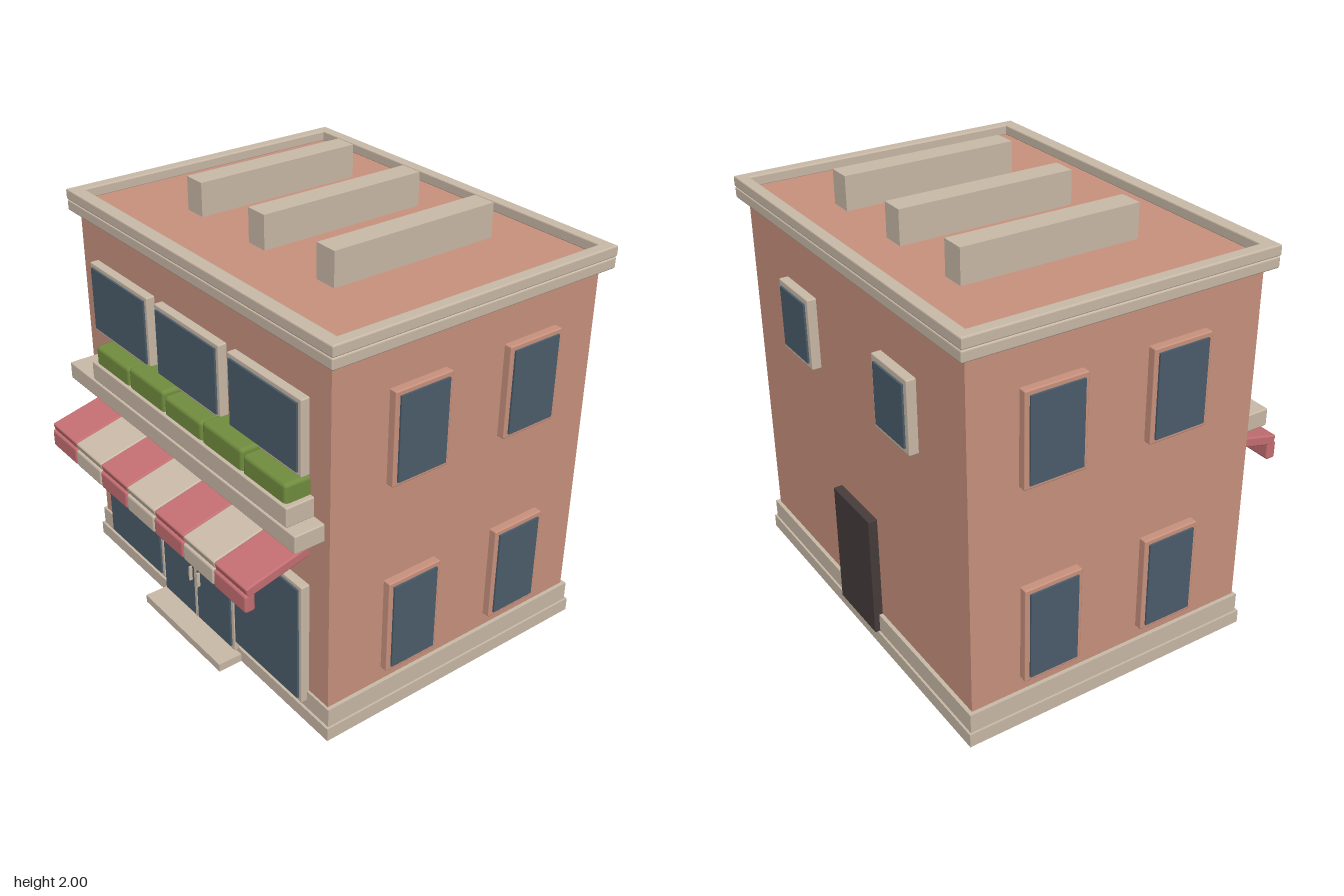
import * as THREE from 'three';
import { RoundedBoxGeometry } from 'three/addons/geometries/RoundedBoxGeometry.js';

const mat = (name, color) => Object.assign(new THREE.MeshStandardMaterial({ color }), { name });

export function createModel() {
  const brick = mat('brick', 0xc9927e);
  const stone = mat('stone', 0xcabaa8);
  const glass = mat('glass', 0x4b5d6b);
  const leaf = mat('leaf', 0x718d3e);
  const red = mat('awning red', 0xc56f72);
  const dark = mat('back door', 0x463c3b);

  const model = new THREE.Group();
  model.name = 'shopBuilding';

  // Box given by its limits on each axis; r rounds the edges
  function box(name, m, [x0, x1], [y0, y1], [z0, z1], r = 0, parent = model) {
    const s = [x1 - x0, y1 - y0, z1 - z0];
    const g = r ? new RoundedBoxGeometry(...s, 2, r) : new THREE.BoxGeometry(...s);
    const mesh = new THREE.Mesh(g, m);
    mesh.name = name;
    mesh.position.set((x0 + x1) / 2, (y0 + y1) / 2, (z0 + z1) / 2);
    parent.add(mesh);
    return mesh;
  }

  // Window facing +z: raised surround with a pane slightly proud of it
  function windowUnit(name, m, w, h, border, depth = 0.042) {
    const g = new THREE.Group();
    g.name = name;
    box('surround', m, [-w / 2, w / 2], [-h / 2, h / 2], [-0.01, depth], 0.006, g);
    const a = w / 2 - border, b = h / 2 - border;
    box('pane', glass, [-a, a], [-b, b], [depth, depth + 0.009], 0, g);
    model.add(g);
    return g;
  }

  // Walls and plinth
  box('walls', brick, [-0.922, 0.922], [0.06, 1.8], [-0.832, 0.572]);
  box('lowerPlinth', stone, [-0.95, 0.95], [0, 0.065], [-0.86, 0.595]);
  box('upperPlinth', stone, [-0.94, 0.94], [0.065, 0.157], [-0.85, 0.583]);
  box('doorStep', stone, [-0.315, 0.315], [0, 0.04], [0.55, 0.715]);

  // Cornice, parapet rim and sunken roof
  box('cornice', stone, [-0.972, 0.972], [1.788, 1.84], [-0.874, 0.61], 0.008);
  const rect = (C, x, zBack, zFront) => new C([
    new THREE.Vector2(-x, -zFront), new THREE.Vector2(x, -zFront),
    new THREE.Vector2(x, -zBack), new THREE.Vector2(-x, -zBack),
  ]);
  const b = 0.006;
  const rimShape = rect(THREE.Shape, 0.972 - b, -0.874 + b, 0.61 - b);
  rimShape.holes.push(rect(THREE.Path, 0.915 + b, -0.82 - b, 0.545 + b));
  const rim = new THREE.Mesh(new THREE.ExtrudeGeometry(rimShape, {
    depth: 0.05 - 2 * b, bevelEnabled: true, bevelSize: b, bevelThickness: b, bevelSegments: 2,
  }), stone);
  rim.name = 'parapetRim';
  rim.rotation.x = -Math.PI / 2;
  rim.position.y = 1.84 + b;
  model.add(rim);
  box('roof', brick, [-0.918, 0.918], [1.835, 1.843], [-0.825, 0.55]);
  for (const x of [-0.466, 0, 0.464])
    box('roofBeam', stone, [x - 0.056, x + 0.056], [1.84, 2], [-0.6, 0.246]);

  // Front windows on both floors
  for (const i of [-1, 0, 1])
    windowUnit('upperFrontWindow', stone, 0.49, 0.345, 0.02).position.set(i * 0.55 - 0.003, 1.42, 0.57);
  for (const s of [-1, 1])
    windowUnit('shopWindow', stone, 0.5, 0.614, 0.019).position.set(s * 0.546 - 0.003, 0.413, 0.57);

  // Double door with centre bar and handles
  windowUnit('frontDoor', stone, 0.588, 0.705, 0.02).position.set(-0.003, 0.402, 0.57);
  box('doorBar', stone, [-0.011, 0.005], [0.07, 0.737], [0.61, 0.625]);
  for (const s of [-1, 1])
    box('doorHandle', stone, [s * 0.032 - 0.007, s * 0.032 + 0.001], [0.265, 0.34], [0.615, 0.637]);

  // Side windows, same on both sides
  for (const s of [-1, 1])
    for (const z of [0.146, -0.456]) {
      const up = windowUnit('upperSideWindow', brick, 0.292, 0.43, 0.021, 0.037);
      up.position.set(s * 0.922, 1.377, z);
      const low = windowUnit('lowerSideWindow', brick, 0.28, 0.465, 0.022, 0.037);
      low.position.set(s * 0.922, 0.456, z);
      up.rotation.y = low.rotation.y = s * Math.PI / 2;
    }

  // Back windows and door
  for (const s of [-1, 1]) {
    const w = windowUnit('backWindow', stone, 0.282, 0.335, 0.026);
    w.position.set(s * 0.425, 1.373, -0.832);
    w.rotation.y = Math.PI;
  }
  box('backDoor', dark, [-0.165, 0.165], [0.065, 0.667], [-0.874, -0.82], 0.005);

  // Ledge, planter and hedge
  box('ledge', stone, [-0.888, 0.888], [0.988, 1.072], [0.55, 0.715], 0.006);
  box('planter', stone, [-0.68, 0.822], [1.07, 1.162], [0.55, 0.706], 0.006);
  for (let i = 0; i < 5; i++) {
    const x = -0.658 + i * 0.2915;
    box('hedge', leaf, [x, x + 0.29], [1.14, i % 2 ? 1.263 : 1.25], [0.555, 0.692], 0.02);
  }

  // Striped awning: sloped panels with a hanging valance
  const step = 1.592 / 7, tilt = Math.atan2(0.072, 0.295);
  for (let i = 0; i < 7; i++) {
    const x = -0.798 + i * step, m = i % 2 ? stone : red;
    const panel = box('awningPanel', m, [x, x + step - 0.002], [-0.024, 0.024], [-0.165, 0.155], 0.008);
    panel.position.y = 0.851;
    panel.position.z = 0.72;
    panel.rotation.x = tilt;
    box('awningValance', m, [x, x + step - 0.002], [0.718, 0.805], [0.835, 0.885], 0.012);
  }
  return model;
}
